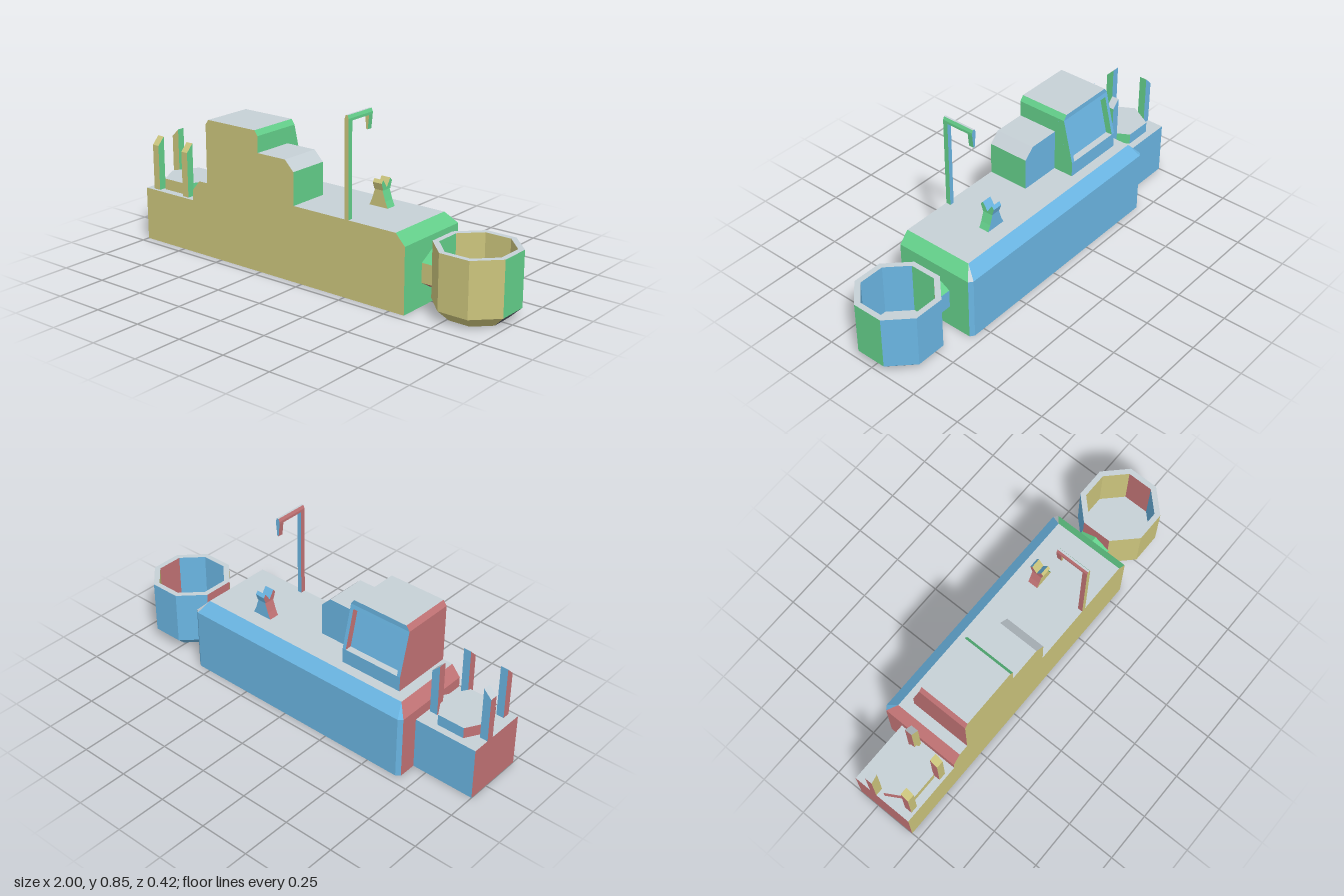
import * as THREE from 'three';

const mat = (name, color) => {
  const m = new THREE.MeshStandardMaterial({ color });
  m.name = name;
  return m;
};
// one colour for each facing: +x, -x, +y, -y, +z, -z
const MATERIALS = [
  mat('green', 0x64d08b), mat('red', 0xc07274), mat('paleGrey', 0xc6d0d6),
  mat('charcoal', 0x5a5c68), mat('sand', 0xcbc47c), mat('blue', 0x6ab5e2),
];

// Sorts triangles into material groups by the way they face
function paint(name, geometry) {
  const src = geometry.index ? geometry.toNonIndexed() : geometry;
  const p = src.attributes.position;
  const buckets = MATERIALS.map(() => []);
  const t = new THREE.Triangle(), n = new THREE.Vector3();
  for (let i = 0; i < p.count; i += 3) {
    t.setFromAttributeAndIndices(p, i, i + 1, i + 2);
    if (t.getArea() < 1e-8) continue;
    t.getNormal(n);
    const ax = Math.abs(n.x), ay = Math.abs(n.y) + 0.02, az = Math.abs(n.z) * 1.5;
    let k;
    if (az >= ax && az >= ay) k = n.z > 0 ? 4 : 5;
    else if (ay >= ax) k = n.y > 0 ? 2 : 3;
    else k = n.x > 0 ? 0 : 1;
    for (const v of [t.a, t.b, t.c]) buckets[k].push(v.x, v.y, v.z);
  }
  const g = new THREE.BufferGeometry();
  g.setAttribute('position', new THREE.Float32BufferAttribute(buckets.flat(), 3));
  let start = 0;
  buckets.forEach((b, k) => {
    if (b.length) g.addGroup(start, b.length / 3, k);
    start += b.length / 3;
  });
  g.computeVertexNormals();
  const mesh = new THREE.Mesh(g, MATERIALS);
  mesh.name = name;
  return mesh;
}

// Joins level rings of [x, z] points, given as [y, ring], and caps both ends
function loft(levels) {
  const out = [];
  const add = (...pts) => pts.forEach(([y, [x, z]]) => out.push(x, y, z));
  const count = levels[0][1].length;
  for (let l = 0; l < levels.length - 1; l++) {
    const [y0, r0] = levels[l], [y1, r1] = levels[l + 1];
    for (let i = 0; i < count; i++) {
      const j = (i + 1) % count;
      add([y0, r0[i]], [y0, r0[j]], [y1, r1[j]]);
      add([y0, r0[i]], [y1, r1[j]], [y1, r1[i]]);
    }
  }
  const [yb, rb] = levels[0], [yt, rt] = levels[levels.length - 1];
  for (let i = 1; i < count - 1; i++) {
    add([yb, rb[0]], [yb, rb[i + 1]], [yb, rb[i]]);
    add([yt, rt[0]], [yt, rt[i]], [yt, rt[i + 1]]);
  }
  const g = new THREE.BufferGeometry();
  g.setAttribute('position', new THREE.Float32BufferAttribute(out, 3));
  return g;
}

const rect = (x0, x1, z0, z1) => [[x0, z1], [x1, z1], [x1, z0], [x0, z0]];

// Block from levels of [y, x0, x1, zBack, zFront]
const block = (name, ...levels) => paint(name, loft(levels.map(([y, ...r]) => [y, rect(...r)])));

// Hexagonal prism with corners on the x axis
const hexPrism = (name, r, h) => paint(name, new THREE.CylinderGeometry(r, r, h, 6).rotateY(Math.PI / 2));

export function createModel() {
  const model = new THREE.Group();
  model.name = 'model';

  // Main body with bevelled ends and back edge
  const foot = [[-0.68, 0.21], [0.58, 0.21], [0.58, -0.195], [0.56, -0.21], [-0.66, -0.21], [-0.68, -0.195]];
  const deck = [[-0.635, 0.21], [0.53, 0.21], [0.53, -0.155], [0.53, -0.155], [-0.635, -0.155], [-0.635, -0.155]];
  model.add(paint('body', loft([[0, foot], [0.317, foot], [0.37, deck]])));

  // Low end platform with a hexagonal pad and four posts
  model.add(block('platform', [0, -1, -0.68, -0.105, 0.21], [0.265, -1, -0.68, -0.105, 0.21]));
  const pad = hexPrism('pad', 0.138, 0.055);
  pad.position.set(-0.84, 0.2925, 0.05);
  model.add(pad);
  for (const x of [-0.96, -0.765]) {
    model.add(block('frontPost', [0.265, x, x + 0.038, 0.157, 0.195],
      [0.49, x, x + 0.038, 0.157, 0.195], [0.53, x, x + 0.038, 0.157, 0.157]));
  }
  for (const [outer, inner] of [[-1, -0.96], [-0.69, -0.73]]) {
    const x0 = Math.min(outer, inner), x1 = Math.max(outer, inner);
    model.add(block('backPost', [0.265, x0, x1, -0.018, 0.02],
      [0.49, x0, x1, -0.018, 0.02], [0.53, inner, inner, -0.018, 0.02]));
  }

  // Cabin with a sloping back and a recessed window
  const cabin = new THREE.Group();
  cabin.name = 'cabin';
  const L = -0.583, R = -0.257;
  cabin.add(block('cabinBody', [0.37, L, R, -0.07, 0.21], [0.445, L, R, -0.07, 0.21],
    [0.66, L, R, -0.017, 0.21], [0.685, L + 0.018, R - 0.018, -0.017, 0.21]));
  cabin.add(block('windowSill', [0.37, L, R, -0.104, -0.07], [0.445, L, R, -0.104, -0.07]));
  for (const x of [L, R - 0.018]) {
    cabin.add(block('windowJamb', [0.445, x, x + 0.018, -0.104, -0.07],
      [0.64, x, x + 0.018, -0.056, -0.022]));
  }
  cabin.add(block('windowHeader', [0.64, L, R, -0.056, -0.022], [0.66, L, R, -0.051, -0.017],
    [0.685, L + 0.018, R - 0.018, -0.051, -0.017]));
  cabin.add(block('cabinStep', [0.37, R, -0.043, 0, 0.21], [0.53, R, -0.043, 0, 0.21],
    [0.58, R, -0.093, 0, 0.21]));
  model.add(cabin);

  // Hooked pole
  const pole = new THREE.Group();
  pole.name = 'pole';
  pole.add(block('mast', [0.37, 0.25, 0.272, 0.185, 0.21], [0.82, 0.25, 0.272, 0.185, 0.21]));
  pole.add(block('arm', [0.818, 0.25, 0.272, 0.04, 0.21], [0.83, 0.25, 0.272, 0.04, 0.21],
    [0.845, 0.256, 0.266, 0.04, 0.21]));
  pole.add(block('hook', [0.752, 0.257, 0.265, 0.04, 0.066], [0.818, 0.25, 0.272, 0.04, 0.066]));
  model.add(pole);

  // Flared stand carrying a forked rest
  model.add(block('restStand', [0.37, 0.208, 0.312, -0.079, -0.026],
    [0.40, 0.222, 0.298, -0.079, -0.026], [0.46, 0.242, 0.278, -0.079, -0.026]));
  const fork = new THREE.Shape([[0.079, 0.45], [0.091, 0.485], [0.079, 0.5], [0.0525, 0.46],
    [0.026, 0.5], [0.014, 0.485], [0.026, 0.45]].map(([z, y]) => new THREE.Vector2(z, y)));
  const forkGeometry = new THREE.ExtrudeGeometry(fork, { depth: 0.05, bevelEnabled: false });
  model.add(paint('forkRest', forkGeometry.rotateY(Math.PI / 2).translate(0.235, 0, 0)));

  // Hollow octagonal tub, its wall running up the outside and down the inside
  const octagon = (apothem) => Array.from({ length: 8 }, (_, i) => {
    const a = (i + 0.5) * Math.PI / 4, r = apothem / Math.cos(Math.PI / 8);
    return [0.815 + r * Math.cos(a), -r * Math.sin(a)];
  });
  model.add(paint('tub', loft([[0, 0.13], [0.054, 0.185], [0.32, 0.185], [0.32, 0.158], [0.06, 0.158]]
    .map(([y, apothem]) => [y, octagon(apothem)]))));

  // Hexagonal coupling between body and tub
  const coupling = hexPrism('coupling', 0.094, 0.07);
  coupling.rotation.z = Math.PI / 2;
  coupling.position.set(0.605, 0.16, 0);
  model.add(coupling);

  return model;
}
